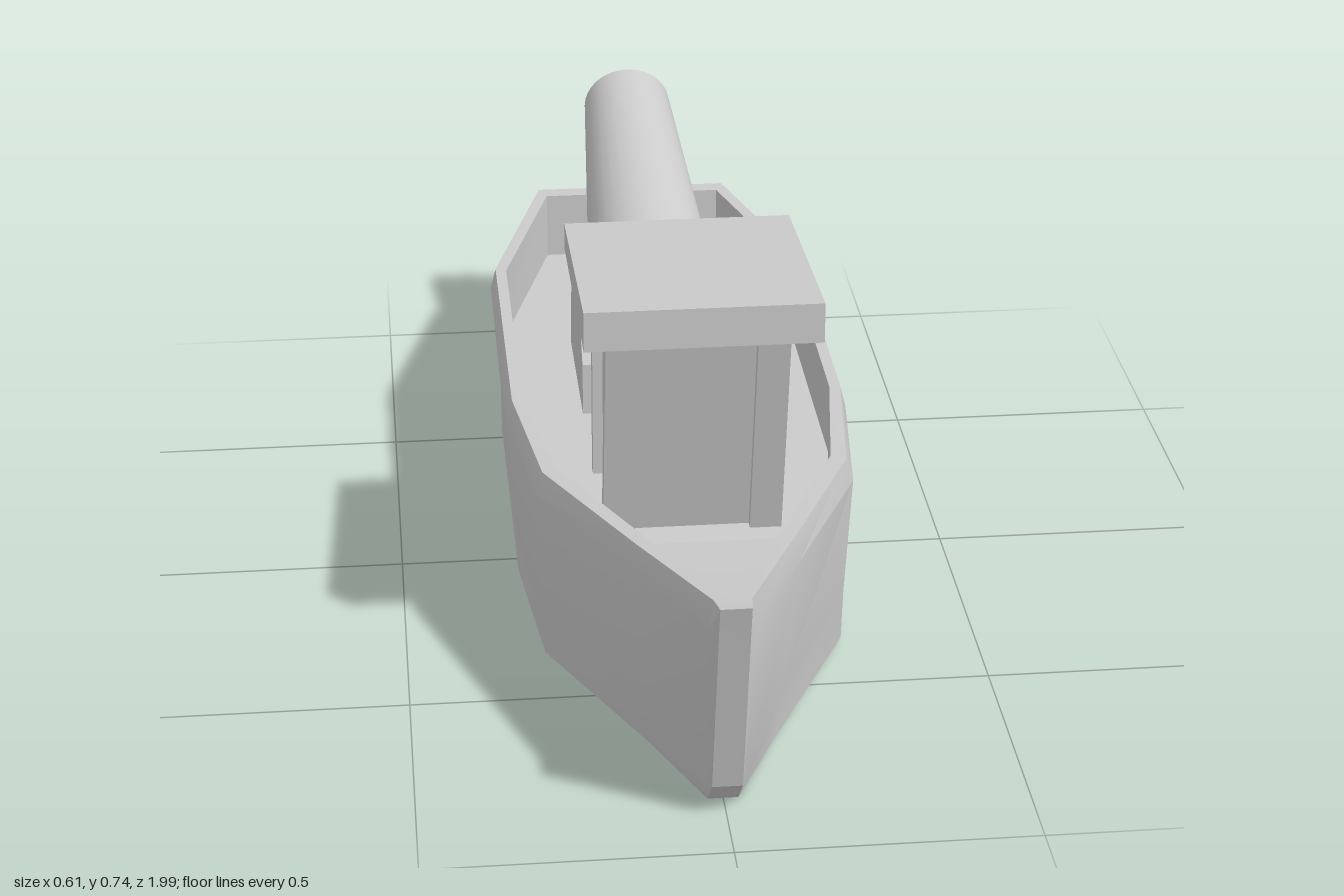
import * as THREE from 'three';
import { toCreasedNormals } from 'three/addons/utils/BufferGeometryUtils.js';

const material = new THREE.MeshStandardMaterial({ color: 0xcccccc });
const DECK = 0.23;

function add(group, name, geometry) {
  const mesh = new THREE.Mesh(geometry, material);
  mesh.name = name;
  group.add(mesh);
  return mesh;
}

function shapeOf(points) {
  return new THREE.Shape(points.map(([a, b]) => new THREE.Vector2(a, b)));
}

// Extrudes a (z, y) side profile across x, from x0 to x0 + width
function sideExtrude(shape, x0, width) {
  const g = new THREE.ExtrudeGeometry(shape, { depth: width, bevelEnabled: false });
  g.rotateY(-Math.PI / 2);
  g.translate(x0 + width, 0, 0);
  return g;
}

// Hull lofted through half sections: bottom, chine, rub line, rail, inner rail, deck
function hullGeometry() {
  const bow = [[0.025, 0, 0.84], [0.025, 0.06, 0.9], [0.025, 0.39, 0.985], [0.025, 0.443, 1]];
  const stem = [[0.03, 0, 0.83], [0.03, 0.06, 0.885], [0.038, 0.385, 0.955], [0.03, 0.432, 0.95]];
  const fore = [[0.108, 0.015, 0.68], [0.113, 0.1, 0.69], [0.137, 0.36, 0.71], [0.128, 0.405, 0.71]];
  const shoulder = [[0.26, 0.015, 0.37], [0.262, 0.11, 0.375], [0.272, 0.335, 0.39], [0.26, 0.375, 0.385]];
  const mid = (z) => [[0.29, 0.015, z], [0.29, 0.11, z], [0.305, 0.32, z], [0.295, 0.36, z]];
  const stern = [[0.235, 0.015, -0.7], [0.19, 0.11, -0.87], [0.195, 0.32, -0.895], [0.187, 0.36, -0.9]];
  const section = (outer, x, z, deckY) => {
    const y = outer[3][1];
    const half = [...outer, [x, y, z], [x, deckY ?? y, z]];
    const mirrored = half.map(([a, b, c]) => [-a, b, c]).reverse();
    return [...half, ...mirrored];
  };
  const rings = [
    section(bow, 0.02, 1),
    section(stem, 0.024, 0.95),
    section(fore, 0.1, 0.71),
    section(fore, 0.1, 0.71, DECK),
    section(shoulder, 0.235, 0.37, DECK),
    section(mid(0.07), 0.275, 0.07, DECK),
    section(mid(-0.51), 0.275, -0.5, DECK),
    section(stern, 0.173, -0.865, DECK),
    section(stern, 0.173, -0.865),
    section(stern, 0.187, -0.9),
  ];
  const positions = [];
  const tri = (...corners) => {
    const [a, b, c] = corners.map((p) => new THREE.Vector3(...p));
    if (new THREE.Triangle(a, b, c).getArea() > 1e-7) positions.push(...corners.flat());
  };
  const quad = (a, b, c, d) => { tri(a, b, c); tri(a, c, d); };
  const n = rings[0].length;
  for (let i = 0; i < rings.length - 1; i++) {
    for (let j = 0; j < n; j++) {
      const k = (j + 1) % n;
      quad(rings[i][j], rings[i + 1][j], rings[i + 1][k], rings[i][k]);
    }
  }
  // Stem face and transom
  const last = rings[rings.length - 1];
  for (let j = 0; j < 3; j++) {
    quad(rings[0][j], rings[0][j + 1], rings[0][n - 2 - j], rings[0][n - 1 - j]);
    quad(last[n - 1 - j], last[n - 2 - j], last[j + 1], last[j]);
  }
  const g = new THREE.BufferGeometry();
  g.setAttribute('position', new THREE.Float32BufferAttribute(positions, 3));
  return toCreasedNormals(g, 0.4);
}

// Wheelhouse with a forward-leaning front and recessed panels
function buildCabin() {
  const cabin = new THREE.Group();
  cabin.name = 'cabin';
  const frontZ = (y) => 0.445 + (y - 0.655) * 0.23;
  const backZ = (y) => 0.1 + (y - 0.375) * 0.05;
  const inset = 0.018;

  const core = shapeOf([
    [backZ(DECK), DECK], [frontZ(DECK) - inset, DECK],
    [frontZ(0.665) - inset, 0.665], [backZ(0.655), 0.655],
  ]);
  add(cabin, 'cabinCore', sideExtrude(core, -0.155 + inset, 0.31 - 2 * inset));

  // Side frames: back post, header and front post
  const sideFrame = shapeOf([
    [backZ(DECK), DECK], [backZ(DECK) + 0.025, DECK], [backZ(0.635) + 0.025, 0.635],
    [frontZ(0.645) - 0.03, 0.645], [frontZ(DECK) - 0.03, DECK],
    [frontZ(DECK), DECK], [frontZ(0.665), 0.665], [backZ(0.655), 0.655],
  ]);
  add(cabin, 'leftFrame', sideExtrude(sideFrame, 0.155 - inset, inset));
  add(cabin, 'rightFrame', sideExtrude(sideFrame, -0.155, inset));

  // Front frame, sheared to follow the lean
  const frontFrame = shapeOf([
    [-0.155, DECK], [-0.1, DECK], [-0.1, 0.63], [0.1, 0.63],
    [0.1, DECK], [0.155, DECK], [0.155, 0.665], [-0.155, 0.665],
  ]);
  const g = new THREE.ExtrudeGeometry(frontFrame, { depth: inset, bevelEnabled: false });
  const p = g.attributes.position;
  for (let i = 0; i < p.count; i++) p.setZ(i, p.getZ(i) - inset + frontZ(p.getY(i)));
  g.computeVertexNormals();
  add(cabin, 'frontFrame', g);

  const roof = shapeOf([[0.07, 0.65], [0.53, 0.665], [0.53, 0.735], [0.07, 0.697]]);
  add(cabin, 'roof', sideExtrude(roof, -0.197, 0.394));
  return cabin;
}

// Tilted, tapered barrel held between two cheeks
function buildCannon() {
  const cannon = new THREE.Group();
  cannon.name = 'cannon';
  const tilt = 0.262;
  const length = 0.79;
  const profile = [
    [0, 0], [0.092, 0], [0.092, 0.2], [0.122, 0.2],
    [0.086, length], [0.066, length], [0.066, 0.3], [0, 0.3],
  ].map(([r, y]) => new THREE.Vector2(r, y - length));
  const lathe = new THREE.LatheGeometry(profile, 32);
  const barrel = add(cannon, 'barrel', toCreasedNormals(lathe, 0.5));
  barrel.rotation.x = tilt - Math.PI / 2;
  barrel.position.set(0, 0.513, -0.972);

  const cheek = shapeOf([
    [-0.45, DECK], [-0.125, DECK], [-0.125, 0.33],
    [-0.225, 0.45], [-0.39, 0.43],
  ]);
  add(cannon, 'leftCheek', sideExtrude(cheek, 0.09, 0.065));
  add(cannon, 'rightCheek', sideExtrude(cheek, -0.155, 0.065));
  return cannon;
}

export function createModel() {
  const model = new THREE.Group();
  model.name = 'gunboat';
  add(model, 'hull', hullGeometry());
  model.add(buildCabin(), buildCannon());
  return model;
}
